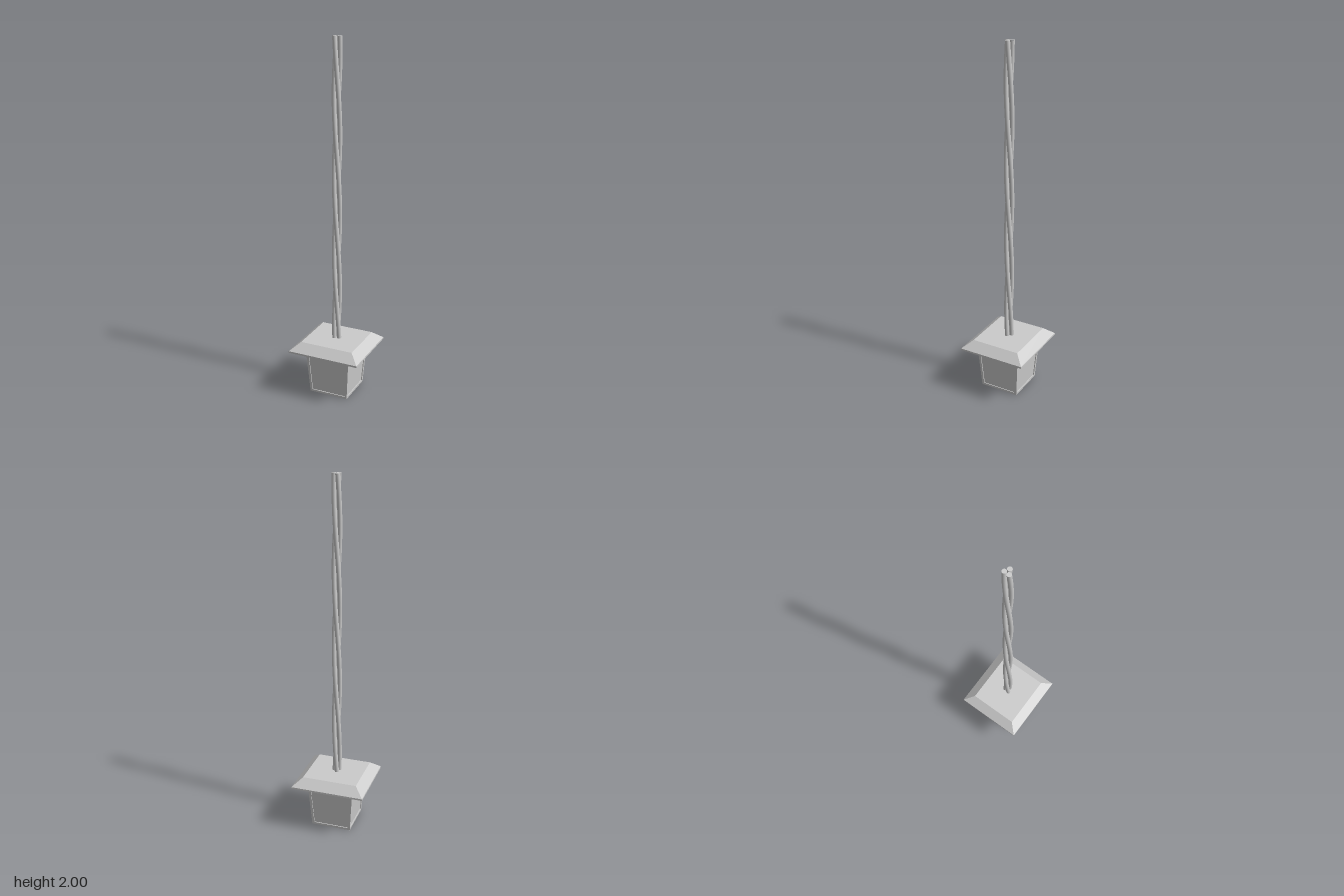
import * as THREE from 'three';

const material = new THREE.MeshStandardMaterial({ color: 0xcccccc });

function addMesh(parent, name, geometry) {
  const mesh = new THREE.Mesh(geometry, material);
  mesh.name = name;
  parent.add(mesh);
  return mesh;
}

// Box running from a lower to an upper rectangle, each given as { x, y, z, w, d }
function loftedBox(lower, upper) {
  const geometry = new THREE.BoxGeometry(1, 1, 1);
  const p = geometry.attributes.position;
  for (let i = 0; i < p.count; i++) {
    const r = p.getY(i) < 0 ? lower : upper;
    p.setXYZ(i, (r.x || 0) + p.getX(i) * r.w, r.y, (r.z || 0) + p.getZ(i) * r.d);
  }
  geometry.computeVertexNormals();
  return geometry;
}

// One rope strand winding around the vertical axis
class StrandCurve extends THREE.Curve {
  constructor(phase) {
    super();
    this.phase = phase;
  }
  getPoint(t, target = new THREE.Vector3()) {
    const bottom = 0.3, top = 2, pitch = 1.3, radius = 0.0155;
    const y = bottom + (top - bottom) * t;
    const a = this.phase - ((top - y) / pitch) * Math.PI * 2;
    return target.set(radius * Math.cos(a), y, radius * Math.sin(a) - 0.002);
  }
}

export function createModel() {
  const model = new THREE.Group();
  model.name = 'hangingLantern';

  // Twisted three-strand rope with closed ends
  const rope = new THREE.Group();
  rope.name = 'rope';
  model.add(rope);
  for (let i = 0; i < 3; i++) {
    const curve = new StrandCurve((i * Math.PI * 2) / 3);
    addMesh(rope, 'ropeStrand', new THREE.TubeGeometry(curve, 48, 0.0125, 12));
    const cap = addMesh(rope, 'strandEnd', new THREE.CircleGeometry(0.0125, 12));
    cap.rotation.x = -Math.PI / 2;
    cap.position.copy(curve.getPoint(1));
  }

  // Roof: thin rim with a bevelled slab above it
  const eave = { w: 0.416, d: 0.39 };
  addMesh(model, 'roofRim', loftedBox({ ...eave, y: 0.26 }, { ...eave, y: 0.27 }));
  addMesh(model, 'roof', loftedBox({ ...eave, y: 0.27 }, { w: 0.312, d: 0.284, y: 0.315 }));

  // Tapered lamp body, set slightly behind its frame
  addMesh(model, 'glass', loftedBox({ w: 0.218, d: 0.218, y: 0.008 }, { w: 0.254, d: 0.254, y: 0.262 }));

  // Frame: leaning corner posts and bottom and top rails
  const frame = new THREE.Group();
  frame.name = 'frame';
  model.add(frame);
  const bar = 0.014;
  const half = (y) => 0.114 + (0.132 - 0.114) * (y / 0.262) - bar / 2;
  for (const sx of [-1, 1]) {
    for (const sz of [-1, 1]) {
      const at = (y) => ({ x: sx * half(y), z: sz * half(y), y, w: bar, d: bar });
      addMesh(frame, 'cornerPost', loftedBox(at(0), at(0.262)));
    }
  }
  for (const [name, y0, y1] of [['bottomRail', 0, 0.013], ['topRail', 0.254, 0.262]]) {
    for (const s of [-1, 1]) {
      const alongX = (y) => ({ z: s * half(y), y, w: half(y) * 2, d: bar });
      const alongZ = (y) => ({ x: s * half(y), y, w: bar, d: half(y) * 2 });
      addMesh(frame, name, loftedBox(alongX(y0), alongX(y1)));
      addMesh(frame, name, loftedBox(alongZ(y0), alongZ(y1)));
    }
  }

  return model;
}
